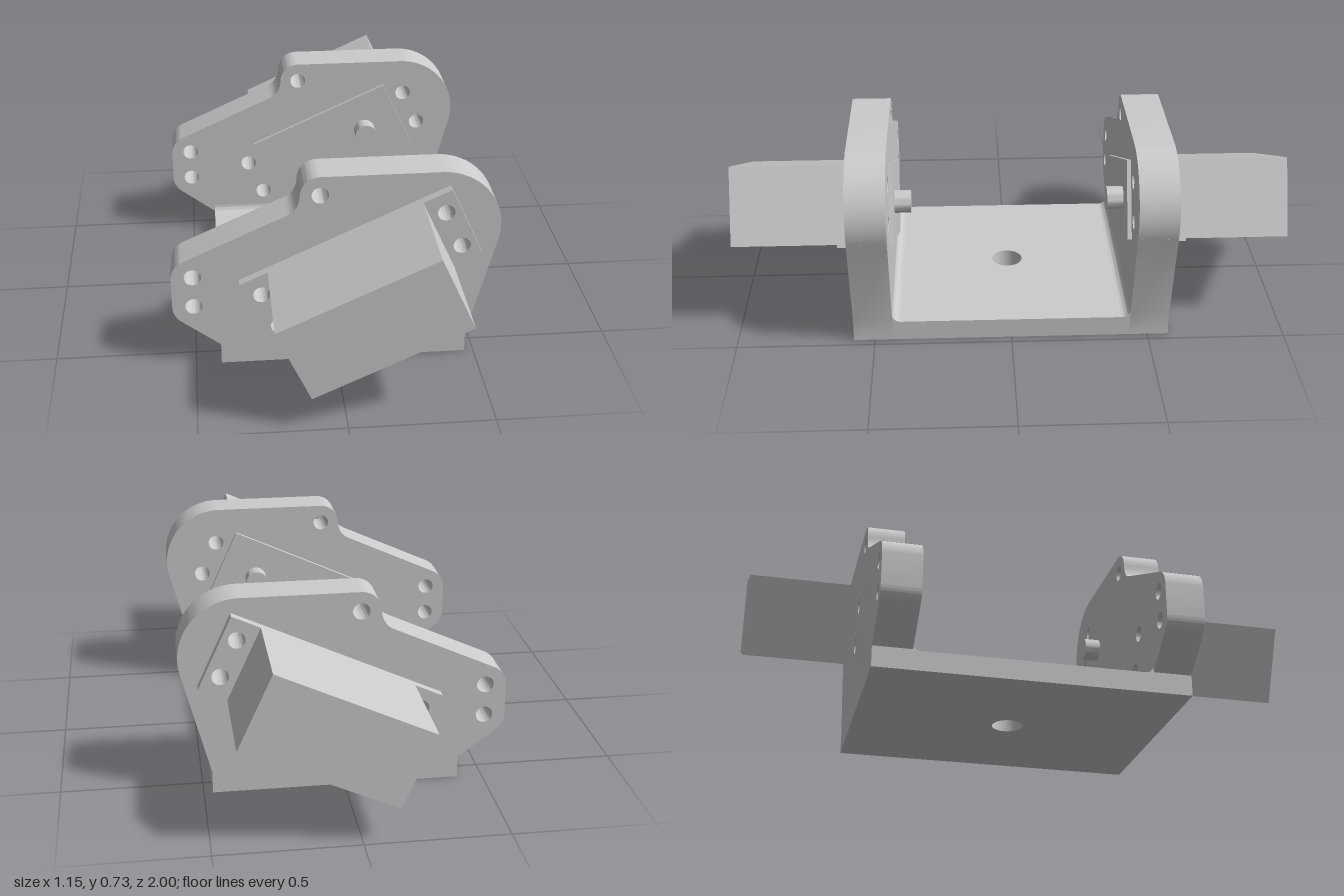
import * as THREE from 'three';
import { toCreasedNormals } from 'three/addons/utils/BufferGeometryUtils.js';

const INNER = 0.435, OUTER = 0.577;          // z range of each side plate
const X0 = -0.41, X1 = 0.468, FLOOR = 0.075; // base extents
const TILT = 0.43, CX = 0.085, CY = 0.3775;  // motor angle and centre
const LENGTH = 0.803, BODY = 0.586, WIDTH = 0.286;

const material = new THREE.MeshStandardMaterial({ color: 0xcccccc });

function addHole(shape, x, y, r) {
  const p = new THREE.Path();
  p.absarc(x, y, r, 0, Math.PI * 2, true);
  shape.holes.push(p);
}

function rectangle(x0, y0, x1, y1) {
  return new THREE.Shape([[x0, y0], [x1, y0], [x1, y1], [x0, y1]].map(p => new THREE.Vector2(...p)));
}

// Prism of a shape running along z from z0 to z1
function prism(name, shape, z0, z1) {
  const geo = new THREE.ExtrudeGeometry(shape, { depth: z1 - z0, bevelEnabled: false, curveSegments: 16 });
  geo.translate(0, 0, z0);
  const mesh = new THREE.Mesh(toCreasedNormals(geo, 0.5), material);
  mesh.name = name;
  return mesh;
}

// The same prism on the front (side = 1) or the back (side = -1)
const sided = (name, shape, side, a, b) =>
  side > 0 ? prism(name, shape, a, b) : prism(name, shape, -b, -a);

// Screw positions in the motor's own tilted frame
const screws = [];
for (const u of [-0.35, 0.35]) for (const v of [-0.0715, 0.0715]) screws.push([u, v]);

function plateShape() {
  const s = new THREE.Shape();
  s.moveTo(X0, 0);
  s.lineTo(X1, 0);
  s.lineTo(X1, 0.08);
  s.lineTo(0.567, 0.457);
  s.absarc(0.36, 0.512, 0.214, -0.26, Math.PI / 2, false);
  s.absarc(-0.055, 0.655, 0.071, Math.PI / 2, Math.PI, false);
  s.quadraticCurveTo(-0.128, 0.604, -0.172, 0.584);
  s.lineTo(-0.533, 0.42);
  s.absarc(-0.5, 0.352, 0.075, 2.02, Math.PI, false);
  s.absarc(-0.5, 0.24, 0.075, Math.PI, 4.04, false);
  s.lineTo(X0, 0.078);
  s.closePath();
  for (const [x, y] of [[-0.5, 0.357], [-0.5, 0.241], [-0.056, 0.656]]) addHole(s, x, y, 0.03);
  const c = Math.cos(TILT), n = Math.sin(TILT);
  for (const [u, v] of screws) addHole(s, CX + u * c - v * n, CY + u * n + v * c, 0.03);
  return s;
}

function createMotor(side) {
  const motor = new THREE.Group();
  motor.name = side > 0 ? 'frontMotor' : 'backMotor';
  const flange = rectangle(-LENGTH / 2, -WIDTH / 2, LENGTH / 2, WIDTH / 2);
  for (const [u, v] of screws) addHole(flange, u, v, 0.03);
  const body = rectangle(-BODY / 2, -WIDTH / 2, BODY / 2, WIDTH / 2);
  const shaft = new THREE.Shape().absarc(0.144, 0, 0.042, 0, Math.PI * 2, false);
  motor.add(
    sided('mountingFlange', flange, side, OUTER, 0.612),
    sided('motorBody', body, side, 0.42, 1),
    sided('outputShaft', shaft, side, 0.36, 0.42)
  );
  motor.position.set(CX, CY, 0);
  motor.rotation.z = TILT;
  return motor;
}

// Concave strip joining the floor to a side plate
function createFillet(side) {
  const r = 0.03, s = new THREE.Shape();
  s.moveTo(0, 0);
  s.lineTo(r, 0);
  s.absarc(r, r, r, -Math.PI / 2, -Math.PI, true);
  s.closePath();
  const strip = prism('cornerFillet', s, -(X1 - X0) / 2, (X1 - X0) / 2);
  strip.rotation.y = side * Math.PI / 2;
  strip.position.set((X0 + X1) / 2, FLOOR, side * INNER);
  return strip;
}

export function createModel() {
  const model = new THREE.Group();
  model.name = 'twinMotorBracket';

  // Floor with a central bolt hole
  const floor = rectangle(X0, -INNER, X1, INNER);
  addHole(floor, 0.028, 0, 0.058);
  const base = prism('basePlate', floor, 0, FLOOR);
  base.rotation.x = -Math.PI / 2;
  model.add(base);

  // Side plates with their motors
  for (const side of [1, -1]) {
    const plate = sided(side > 0 ? 'frontPlate' : 'backPlate', plateShape(), side, INNER, OUTER);
    model.add(plate, createFillet(side), createMotor(side));
  }
  return model;
}
